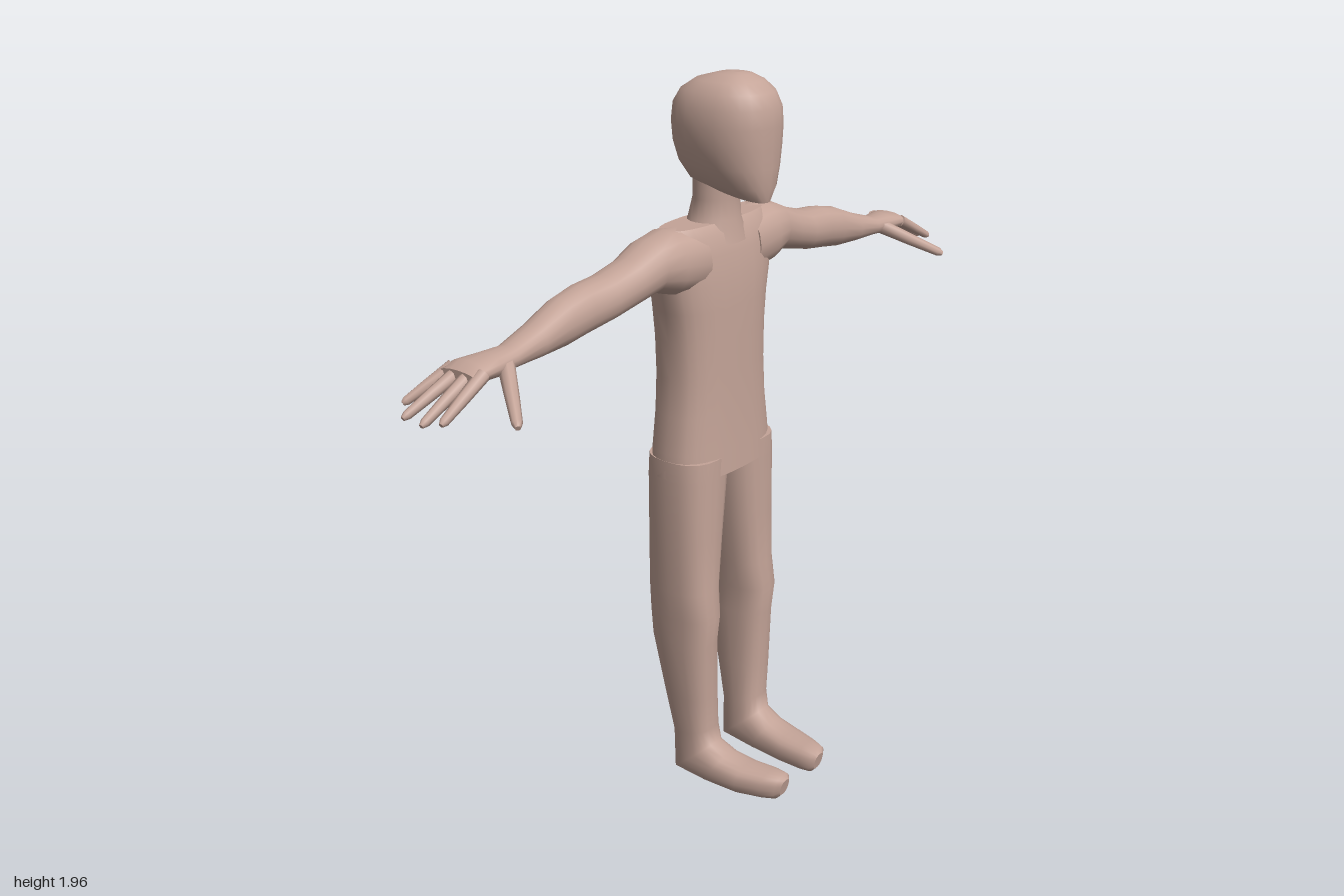
import * as THREE from 'three';

const skin = new THREE.MeshStandardMaterial({ color: 0xc4a498 });
skin.name = 'skin';
const V = (x, y, z) => new THREE.Vector3(x, y, z);

// Skin a closed body over sections { c: centre, u, v: half axes }
function loft(name, sections, power = 2, sides = 20) {
  const first = sections[0], next = sections[1];
  const along = first.u.clone().cross(first.v).dot(next.c.clone().sub(first.c)) > 0;
  const pos = [], idx = [];
  const round = t => Math.sign(t) * Math.pow(Math.abs(t), 2 / power);
  const tri = (a, b, c) => (along ? idx.push(a, b, c) : idx.push(a, c, b));
  const ring = s => {
    const start = pos.length / 3;
    for (let i = 0; i < sides; i++) {
      const a = (i / sides) * Math.PI * 2;
      const p = s.c.clone().addScaledVector(s.u, round(Math.cos(a))).addScaledVector(s.v, round(Math.sin(a)));
      pos.push(p.x, p.y, p.z);
    }
    return start;
  };
  const starts = sections.map(ring);
  for (let k = 0; k + 1 < starts.length; k++) {
    for (let i = 0; i < sides; i++) {
      const j = (i + 1) % sides, a = starts[k], b = starts[k + 1];
      tri(a + i, a + j, b + j);
      tri(a + i, b + j, b + i);
    }
  }
  // Flat end caps with their own vertices
  [first, sections[sections.length - 1]].forEach((s, end) => {
    const r = ring(s), m = pos.length / 3;
    pos.push(s.c.x, s.c.y, s.c.z);
    for (let i = 0; i < sides; i++) {
      const j = (i + 1) % sides;
      if (end) tri(m, r + i, r + j); else tri(m, r + j, r + i);
    }
  });
  const g = new THREE.BufferGeometry();
  g.setAttribute('position', new THREE.Float32BufferAttribute(pos, 3));
  g.setIndex(idx);
  g.computeVertexNormals();
  const mesh = new THREE.Mesh(g, skin);
  mesh.name = name;
  return mesh;
}

// Section from its front point (y, z) and back point (y, z), spanning x0..x1
const slice = (x0, x1, fy, fz, by, bz) => ({
  c: V((x0 + x1) / 2, (fy + by) / 2, (fz + bz) / 2),
  u: V((x1 - x0) / 2, 0, 0),
  v: V(0, (fy - by) / 2, (fz - bz) / 2),
});
// Level section centred on x = 0
const level = ([y, w, front, back]) => slice(-w, w, y, front, y, back);

// Thin tapering digit between two points
function digit(name, from, to, r) {
  const dir = to.clone().sub(from).normalize();
  const u = V(0, 1, 0).cross(dir).normalize(), v = dir.clone().cross(u);
  const at = (t, k) => ({
    c: from.clone().lerp(to, t),
    u: u.clone().multiplyScalar(r * k),
    v: v.clone().multiplyScalar(r * k),
  });
  return loft(name, [at(0, 1.2), at(0.5, 1), at(0.93, 0.75), at(1, 0.4)], 2, 8);
}

function createArm(s) {
  const arm = new THREE.Group();
  arm.name = s > 0 ? 'leftArm' : 'rightArm';
  // x, y bottom, y top, z front, z back
  const rows = [
    [0.1, 1.42, 1.59, -0.01, -0.18], [0.19, 1.435, 1.6, -0.012, -0.172],
    [0.25, 1.455, 1.585, -0.025, -0.168], [0.32, 1.44, 1.555, -0.035, -0.16],
    [0.4, 1.42, 1.532, -0.045, -0.165], [0.48, 1.408, 1.525, -0.05, -0.163],
    [0.55, 1.397, 1.51, -0.053, -0.158], [0.64, 1.394, 1.475, -0.055, -0.145],
    [0.73, 1.394, 1.447, -0.057, -0.133], [0.79, 1.39, 1.446, -0.048, -0.143],
    [0.84, 1.393, 1.44, -0.045, -0.163], [0.87, 1.395, 1.425, -0.047, -0.165],
  ];
  arm.add(loft('armAndPalm', rows.map(([x, lo, hi, f, b]) => ({
    c: V(s * x, (lo + hi) / 2, (f + b) / 2),
    u: V(0, (hi - lo) / 2, 0),
    v: V(0, 0, (f - b) / 2),
  })), 2.2, 16));
  // Four fingers: base z, tip x, tip y, tip z
  [[-0.058, 0.98, 1.345, -0.045], [-0.09, 0.998, 1.338, -0.088],
    [-0.125, 0.995, 1.34, -0.15], [-0.152, 0.95, 1.35, -0.2]].forEach(([z, x, y, tz], i) =>
    arm.add(digit('finger' + (i + 1), V(s * 0.84, 1.417, z), V(s * x, y, tz), 0.0145)));
  arm.add(digit('thumb', V(s * 0.755, 1.417, -0.075), V(s * 0.87, 1.333, 0.073), 0.017));
  return arm;
}

function createLeg(s) {
  // inner x, outer x, front y, front z, back y, back z; turns forward at the ankle
  const rows = [
    [0.005, 0.188, 0.98, 0, 0.98, -0.2], [0.008, 0.19, 0.92, 0, 0.92, -0.203],
    [0.03, 0.19, 0.75, -0.003, 0.75, -0.202], [0.05, 0.189, 0.6, -0.003, 0.6, -0.202],
    [0.06, 0.187, 0.52, 0.008, 0.52, -0.2], [0.063, 0.184, 0.44, -0.002, 0.44, -0.195],
    [0.062, 0.174, 0.27, -0.008, 0.27, -0.16], [0.058, 0.166, 0.17, -0.012, 0.14, -0.133],
    [0.055, 0.165, 0.125, -0.003, 0.01, -0.133], [0.05, 0.163, 0.1, 0.04, 0.004, -0.02],
    [0.045, 0.155, 0.09, 0.1, 0.004, 0.09], [0.042, 0.135, 0.09, 0.17, 0.01, 0.165],
    [0.048, 0.118, 0.088, 0.21, 0.014, 0.198], [0.062, 0.1, 0.076, 0.22, 0.025, 0.208],
  ];
  return loft(s > 0 ? 'leftLegAndFoot' : 'rightLegAndFoot',
    rows.map(([x0, x1, ...r]) => slice(s * x0, s * x1, ...r)), 2.5);
}

export function createModel() {
  const model = new THREE.Group();
  model.name = 'figure';

  model.add(loft('torso', [
    [0.93, 0.19, 0.005, -0.212], [1.0, 0.186, 0.003, -0.207], [1.1, 0.172, 0, -0.203],
    [1.2, 0.165, 0, -0.202], [1.3, 0.168, 0, -0.202], [1.38, 0.178, 0, -0.202],
    [1.45, 0.195, -0.002, -0.197], [1.52, 0.205, -0.01, -0.185],
    [1.57, 0.204, -0.022, -0.165], [1.594, 0.185, -0.04, -0.15],
  ].map(level), 2.6, 28));

  model.add(loft('neck', [
    [1.54, 0.1, -0.008, -0.178], [1.6, 0.07, -0.018, -0.15],
    [1.65, 0.064, -0.02, -0.136], [1.73, 0.064, -0.01, -0.135],
  ].map(level)));

  // Head with the jaw underside sloping up toward the neck
  model.add(loft('head', [
    slice(-0.045, 0.045, 1.655, 0.083, 1.69, -0.11),
    slice(-0.078, 0.078, 1.69, 0.092, 1.705, -0.145),
    slice(-0.098, 0.098, 1.74, 0.096, 1.745, -0.172),
    ...[
      [1.79, 0.11, 0.098, -0.184], [1.84, 0.115, 0.1, -0.187], [1.885, 0.11, 0.098, -0.182],
      [1.92, 0.096, 0.083, -0.16], [1.945, 0.072, 0.055, -0.12],
      [1.96, 0.04, 0.025, -0.065], [1.964, 0.012, 0, -0.03],
    ].map(level),
  ], 2.3, 24));

  for (const s of [1, -1]) model.add(createArm(s), createLeg(s));
  return model;
}
